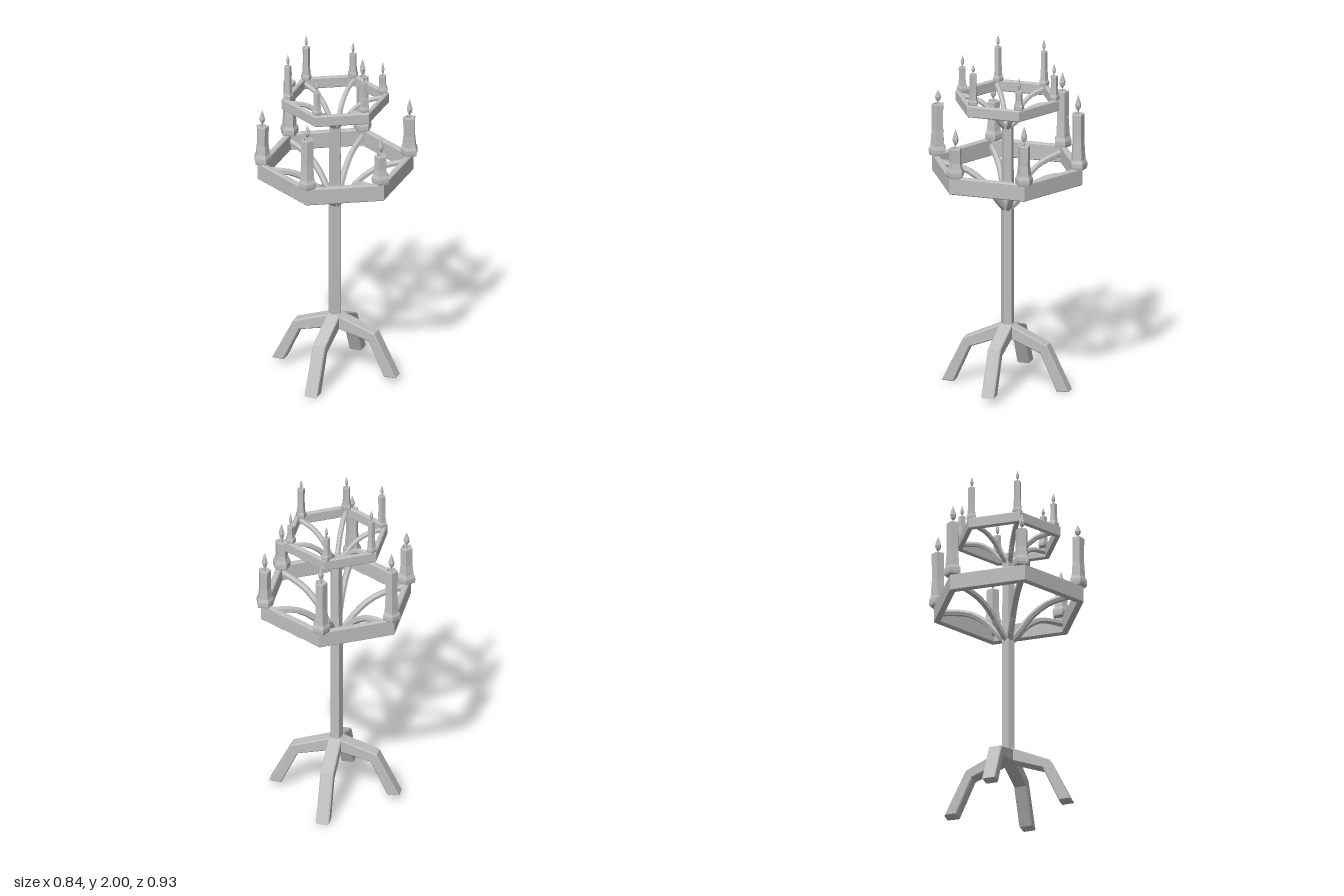
import * as THREE from 'three';

const iron = new THREE.MeshStandardMaterial({ color: 0xc0c0c0, flatShading: true });
iron.name = 'pale grey';

const V = (x, y) => new THREE.Vector2(x, y);

function part(name, geometry) {
  const mesh = new THREE.Mesh(geometry, iron);
  mesh.name = name;
  return mesh;
}

const lathe = (points, sides) => new THREE.LatheGeometry(points.map(p => V(p[0], p[1])), sides);

// Hexagon corners, with one corner facing the front
const hexagon = r => Array.from({ length: 6 }, (_, i) => {
  const a = Math.PI / 2 + i * Math.PI / 3;
  return V(Math.cos(a) * r, Math.sin(a) * r);
});

// Hollow hexagonal band with softened edges
function ring(name, outer, inner, y0, y1) {
  const b = 0.006;
  const shape = new THREE.Shape(hexagon(outer - b));
  shape.holes.push(new THREE.Path(hexagon(inner + b)));
  const g = new THREE.ExtrudeGeometry(shape, {
    depth: y1 - y0 - 2 * b, bevelEnabled: true, bevelSize: b, bevelThickness: b, bevelSegments: 1
  });
  g.rotateX(-Math.PI / 2).translate(0, y0 + b, 0);
  return part(name, g);
}

// Curved brace from the pole out to a ring corner, profile in (radius, height)
function brace(name, profile, radius, angle) {
  const s = Math.sin(angle), c = Math.cos(angle);
  const curve = new THREE.CatmullRomCurve3(profile.map(([r, y]) => new THREE.Vector3(r * s, y, r * c)));
  return part(name, new THREE.TubeGeometry(curve, 10, radius, 6, false));
}

// Five-sided candle on a stepped cup; s scales the girth
function candle(name, x, z, base, top, tip, s, turn) {
  const g = new THREE.Group();
  g.name = name;
  g.position.set(x, base, z);
  g.rotation.y = turn;
  const h = top - base;
  g.add(part('candleCup', lathe([
    [0, -0.004], [0.049 * s, -0.004], [0.053 * s, 0.01 * s], [0.053 * s, 0.032 * s], [0.044 * s, 0.052 * s], [0, 0.052 * s]
  ], 5)));
  g.add(part('candleStick', lathe([
    [0, 0.03 * s], [0.043 * s, 0.05 * s], [0.036 * s, h * 0.5], [0.037 * s, h - 0.005], [0.034 * s, h],
    [0.025 * s, h], [0.022 * s, h - 0.012 * s], [0, h - 0.012 * s]
  ], 5)));
  g.add(part('wick', new THREE.CylinderGeometry(0.004 * s, 0.005 * s, 0.04 * s, 5).translate(0, h + 0.004 * s, 0)));
  const f0 = h + 0.012 * s, f = tip - base - f0;
  const flame = part('flame', lathe([
    [0, f0], [0.013 * s, f0 + f * 0.18], [0.018 * s, f0 + f * 0.38], [0.01 * s, f0 + f * 0.7], [0, f0 + f]
  ], 6));
  g.add(flame);
  return g;
}

// Bent leg reaching out along +x
function leg(name, kneeX, kneeY, footY, angle) {
  const b = 0.006, w = 0.076;
  const shape = new THREE.Shape([
    V(0, 0.30), V(0.04, 0.288), V(kneeX - 0.035, kneeY - 0.047), V(0.31, footY + b),
    V(0.37, footY + b), V(kneeX - 0.006, kneeY - 0.006), V(0.03, 0.361), V(0, 0.366)
  ]);
  const g = new THREE.ExtrudeGeometry(shape, {
    depth: w - 2 * b, bevelEnabled: true, bevelSize: b, bevelThickness: b, bevelSegments: 1
  });
  g.translate(0, 0, -w / 2 + b).rotateY(angle);
  return part(name, g);
}

export function createModel() {
  const model = new THREE.Group();
  model.name = 'candelabra';

  // Central pole, five-sided
  const pole = part('pole', lathe([
    [0, 0.29], [0.038, 0.29], [0.038, 1.1], [0.034, 1.565], [0.028, 1.575], [0, 1.575]
  ], 5));
  pole.position.set(-0.004, 0, -0.005);
  model.add(pole);

  // Four legs; the front and back ones reach lower
  for (let i = 0; i < 4; i++) {
    const side = i % 2 === 0;
    const l = leg(side ? 'sideLeg' : 'frontBackLeg', 0.25, side ? 0.292 : 0.268, side ? 0.034 : 0, i * Math.PI / 2);
    l.position.set(side ? 0 : -0.003, 0, side ? -0.004 : 0);
    model.add(l);
  }

  // Two tiers; candles listed as [x, z, top, flame tip]
  const tiers = [
    {
      name: 'lower', outer: 0.446, inner: 0.408, y0: 1.233, y1: 1.335, tube: 0.019, scale: 1,
      brace: [[0.01, 1.05], [0.06, 1.1], [0.13, 1.185], [0.23, 1.255], [0.33, 1.28], [0.42, 1.29]],
      candles: [
        [-0.005, 0.413, 1.635, 1.72], [0.357, 0.195, 1.505, 1.62], [0.367, -0.215, 1.565, 1.68],
        [-0.003, -0.42, 1.66, 1.77], [-0.367, -0.212, 1.66, 1.77], [-0.367, 0.198, 1.56, 1.66]
      ]
    },
    {
      name: 'upper', outer: 0.307, inner: 0.278, y0: 1.663, y1: 1.73, tube: 0.015, scale: 0.58,
      brace: [[0.01, 1.535], [0.05, 1.57], [0.1, 1.632], [0.17, 1.68], [0.24, 1.695], [0.29, 1.7]],
      candles: [
        [-0.004, 0.267, 1.87, 1.94], [0.23, 0.13, 1.915, 1.97], [0.232, -0.143, 1.835, 1.92],
        [-0.004, -0.277, 1.87, 1.94], [-0.236, -0.143, 1.93, 2.0], [-0.238, 0.13, 1.93, 2.0]
      ]
    }
  ];
  for (const t of tiers) {
    const tier = new THREE.Group();
    tier.name = t.name + 'Tier';
    tier.add(ring(t.name + 'Ring', t.outer, t.inner, t.y0, t.y1));
    t.candles.forEach(([x, z, top, tip], i) => {
      tier.add(brace(t.name + 'Brace', t.brace, t.tube, i * Math.PI / 3));
      tier.add(candle(t.name + 'Candle', x, z, t.y1, top, tip, t.scale, 0.3 + i * 1.1));
    });
    tier.position.set(-0.003, 0, -0.003);
    model.add(tier);
  }
  return model;
}
